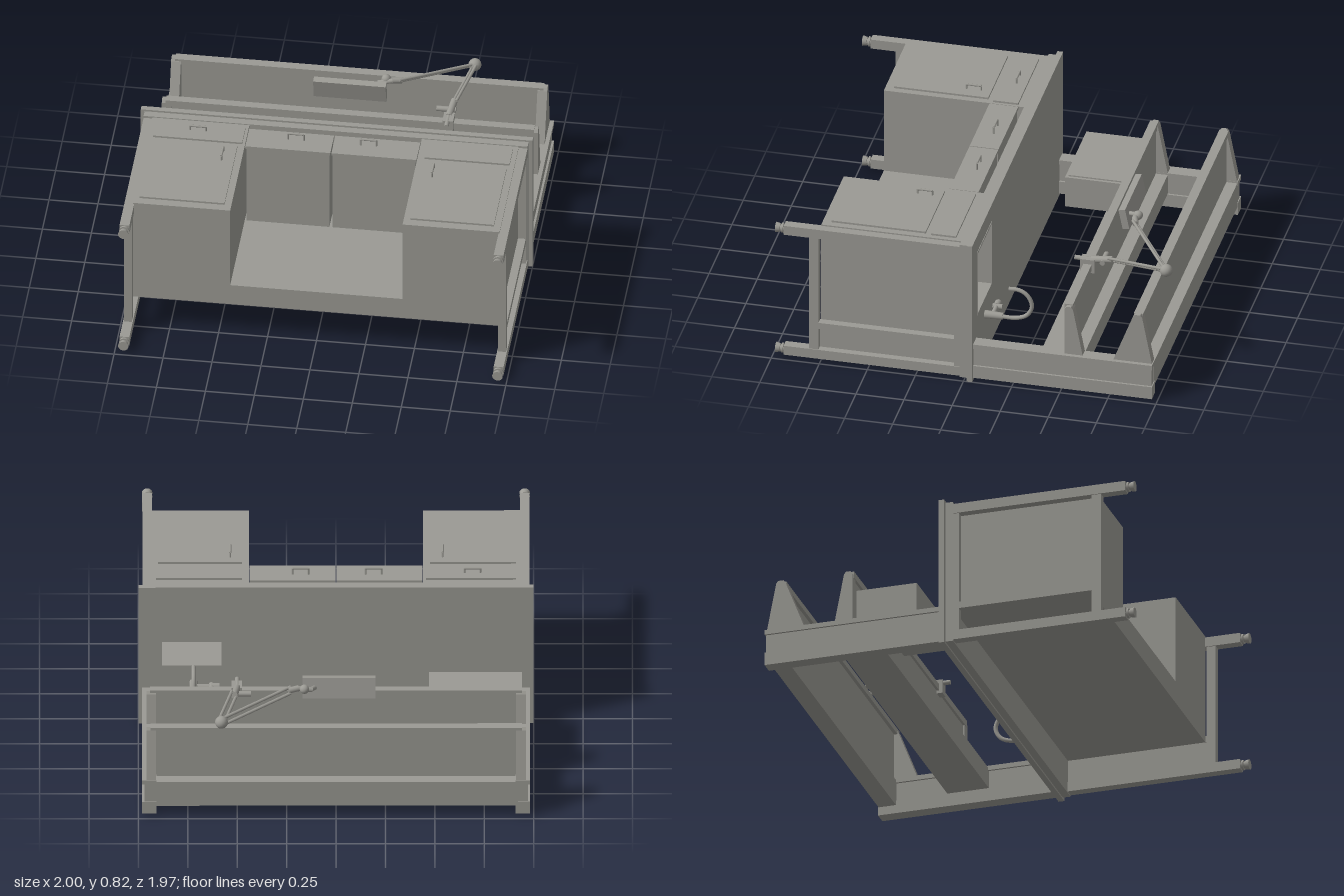
import * as THREE from 'three';

// A workbench lying on its back: worktop faces -z, drawer fronts face +y.
export function createModel() {
  const root = new THREE.Group();
  const grey = new THREE.MeshStandardMaterial({ color: 0x9b9a94 });
  grey.name = 'warm grey';

  const add = (name, geo, parent = root) => {
    const m = new THREE.Mesh(geo, grey);
    m.name = name;
    parent.add(m);
    return m;
  };
  // box from its lower and upper limits
  const box = (name, x0, x1, y0, y1, z0, z1) => {
    const m = add(name, new THREE.BoxGeometry(x1 - x0, y1 - y0, z1 - z0));
    m.position.set((x0 + x1) / 2, (y0 + y1) / 2, (z0 + z1) / 2);
    return m;
  };
  const V = (a) => new THREE.Vector3(...a);
  // round bar between two points
  const rod = (name, a, b, r, r2 = r, sides = 12) => {
    const p = V(a), q = V(b), d = q.clone().sub(p);
    const m = add(name, new THREE.CylinderGeometry(r2, r, d.length(), sides));
    m.position.copy(p).add(q).multiplyScalar(0.5);
    m.quaternion.setFromUnitVectors(new THREE.Vector3(0, 1, 0), d.normalize());
    return m;
  };
  const ball = (name, p, r) => add(name, new THREE.SphereGeometry(r, 16, 12)).position.set(...p);
  // upright plate in the z-y plane, thickness along x
  const sidePlate = (name, x, t, pts) => {
    const s = new THREE.Shape(pts.map(([z, y]) => new THREE.Vector2(-z, y)));
    const g = new THREE.ExtrudeGeometry(s, { depth: t, bevelEnabled: false });
    g.rotateY(Math.PI / 2);
    add(name, g).position.x = x - t / 2;
  };

  // Worktop with a rectangular sink opening
  const top = new THREE.Shape([[-1, 0], [1, 0], [1, 0.795], [-1, 0.795]].map((p) => new THREE.Vector2(...p)));
  top.holes.push(new THREE.Path([[0.58, 0.34], [0.58, 0.69], [0.88, 0.69], [0.88, 0.34]].map((p) => new THREE.Vector2(...p))));
  add('worktop', new THREE.ExtrudeGeometry(top, { depth: 0.03, bevelEnabled: false })).position.z = -0.045;
  // apron frame under the worktop
  box('apronFront', -0.98, 0.98, 0.725, 0.785, -0.015, 0.025);
  box('apronBack', -0.98, 0.98, 0.01, 0.07, -0.015, 0.025);
  box('worktopUnderside', -0.98, 0.57, 0.07, 0.725, -0.015, 0.025);
  box('apronSide', 0.93, 0.98, 0.07, 0.725, -0.015, 0.025);
  box('undersideBehindSink', 0.57, 0.93, 0.07, 0.33, -0.015, 0.025);

  // Sink basin
  box('sinkWall', 0.57, 0.58, 0.33, 0.7, -0.048, 0.2);
  box('sinkWall', 0.88, 0.89, 0.33, 0.7, -0.048, 0.2);
  box('sinkWall', 0.57, 0.89, 0.33, 0.34, -0.048, 0.2);
  box('sinkWall', 0.57, 0.89, 0.69, 0.7, -0.048, 0.2);
  box('sinkFloor', 0.57, 0.89, 0.33, 0.7, 0.19, 0.2);

  // Legs, feet and side frames
  for (const s of [-1, 1]) {
    const bar = (name, a, b, ...r) => box(name, Math.min(s * a, s * b), Math.max(s * a, s * b), ...r);
    for (const y of [0.043, 0.747]) {
      bar('leg', 0.93, 0.98, y - 0.026, y + 0.026, 0.02, 0.94);
      const x = s * 0.955;
      rod('footStem', [x, y, 0.94], [x, y, 0.965], 0.016);
      rod('footCollar', [x, y, 0.945], [x, y, 0.955], 0.026, 0.026, 16);
      rod('footPad', [x, y, 0.962], [x, y, 0.985], 0.022, 0.027, 16);
    }
    bar('lowerRail', 0.935, 0.975, 0.065, 0.725, 0.76, 0.81);
    bar('upperRail', 0.935, 0.975, 0.065, 0.725, 0.02, 0.055);
    bar('middleRail', 0.935, 0.975, 0.19, 0.225, 0.05, 0.765);
  }
  box('lowerSidePanel', 0.936, 0.944, 0.065, 0.195, 0.05, 0.765);

  // Cabinets: carcass shells with fronts
  const shell = (x0, x1, openEnd) => {
    box('cabinetSide', x0, x0 + 0.015, 0.19, 0.775, 0.025, 0.755);
    box('cabinetSide', x1 - 0.015, x1, 0.19, 0.775, 0.025, 0.755);
    box('cabinetBack', x0, x1, 0.19, 0.2, 0.025, 0.755);
    box('cabinetBottom', x0, x1, 0.19, 0.775, 0.74, 0.755);
    box('cabinetFace', x0, x1, 0.765, 0.78, 0.025, 0.755);
  };
  shell(-0.935, -0.44);
  shell(0.44, 0.935);
  box('drawerFront', -0.91, -0.455, 0.78, 0.79, 0.06, 0.19);
  box('sinkFront', 0.475, 0.91, 0.78, 0.79, 0.06, 0.19);
  box('leftDoor', -0.91, -0.475, 0.78, 0.79, 0.22, 0.71);
  box('rightDoor', 0.475, 0.9, 0.78, 0.79, 0.22, 0.71);

  // Knee space: raised back panel and two middle drawers
  box('kneeBack', -0.44, 0.44, 0.19, 0.31, 0.025, 0.755);
  for (const s of [-1, 1]) {
    const x = s * 0.22;
    box('middleDrawer', x - 0.212, x + 0.212, 0.31, 0.77, 0.06, 0.2);
    box('middleDrawerFront', x - 0.217, x + 0.217, 0.765, 0.78, 0.055, 0.205);
  }

  // Handles
  const handle = (x, z, dx, dz, y) => {
    const a = [x - dx, y, z - dz], b = [x + dx, y, z + dz];
    const up = ([i, , k]) => [i, 0.815, k];
    rod('handlePost', a, up(a), 0.005, 0.005, 8);
    rod('handlePost', b, up(b), 0.005, 0.005, 8);
    rod('handleGrip', up(a), up(b), 0.006, 0.006, 8);
  };
  handle(-0.69, 0.115, 0.04, 0, 0.785);
  handle(-0.19, 0.115, 0.04, 0, 0.775);
  handle(0.18, 0.115, 0.04, 0, 0.775);
  handle(-0.54, 0.31, 0, 0.038, 0.785);
  handle(0.535, 0.31, 0, 0.038, 0.785);

  // Upper rack posts with a slotted profile
  for (const s of [-1, 1]) {
    const x = s * 0.945;
    box('post', x - 0.036, x + 0.036, 0.015, 0.085, -0.975, -0.045);
    box('postWeb', x - 0.025, x + 0.025, 0.085, 0.185, -0.97, -0.045);
    box('postCap', x - 0.036, x + 0.036, 0.185, 0.21, -0.975, -0.045);
    // shelf brackets
    sidePlate('topShelfBracket', s * 0.935, 0.05, [[-0.77, 0.21], [-0.87, 0.47], [-0.88, 0.485], [-0.91, 0.485], [-0.92, 0.47], [-0.97, 0.21]]);
    sidePlate('lowerShelfBracket', s * 0.935, 0.05, [[-0.515, 0.21], [-0.515, 0.47], [-0.525, 0.485], [-0.55, 0.485], [-0.56, 0.47], [-0.61, 0.21]]);
  }
  // Cross rails
  box('topCrossRail', -0.92, 0.92, 0.06, 0.2, -0.972, -0.88);
  box('middleCrossRail', -0.92, 0.92, 0.09, 0.2, -0.61, -0.39);
  // Shelves with front lips
  box('topShelf', -0.93, 0.93, 0.2, 0.475, -0.915, -0.89);
  box('topShelfLip', -0.94, 0.94, 0.455, 0.485, -0.92, -0.872);
  box('lowerShelf', -0.93, 0.93, 0.2, 0.475, -0.548, -0.525);
  box('lowerShelfLip', -0.94, 0.94, 0.455, 0.49, -0.555, -0.512);

  // Hanging cupboard below the lower shelf
  box('cupboard', -0.94, -0.47, 0.21, 0.38, -0.5, -0.18);
  box('cupboardDoor', -0.925, -0.485, 0.38, 0.387, -0.485, -0.195);
  box('cupboardMount', -0.85, -0.55, 0.22, 0.35, -0.53, -0.5);

  // Tap with an arched spout and side lever
  rod('tapBase', [0.72, 0.24, -0.045], [0.72, 0.24, -0.14], 0.022, 0.018, 16);
  const spout = new THREE.CatmullRomCurve3([
    [0.72, 0.24, -0.1], [0.72, 0.24, -0.21], [0.72, 0.265, -0.265], [0.72, 0.32, -0.29],
    [0.72, 0.38, -0.265], [0.72, 0.405, -0.22], [0.72, 0.405, -0.17]].map(V));
  add('tapSpout', new THREE.TubeGeometry(spout, 30, 0.011, 10));
  rod('tapArm', [0.72, 0.24, -0.085], [0.63, 0.24, -0.085], 0.012);
  rod('tapLever', [0.63, 0.24, -0.065], [0.63, 0.24, -0.115], 0.014);
  rod('tapKnob', [0.63, 0.24, -0.085], [0.59, 0.24, -0.085], 0.018);

  // Jointed lamp clamped to the lower shelf
  box('lampClamp', 0.475, 0.53, 0.44, 0.515, -0.57, -0.495);
  rod('lampScrew', [0.5, 0.505, -0.46], [0.5, 0.505, -0.58], 0.012);
  rod('lampScrew', [0.43, 0.505, -0.61], [0.53, 0.505, -0.61], 0.014);
  rod('lampPost', [0.5, 0.505, -0.55], [0.515, 0.525, -0.66], 0.018);
  for (const d of [-0.012, 0.012]) {
    rod('lampLowerArm', [0.515 + d, 0.525 + d, -0.64], [0.58 + d, 0.54 + d, -0.95], 0.008, 0.008, 8);
    rod('lampUpperArm', [0.58, 0.54 + d, -0.955 + d], [0.23, 0.585 + d, -0.71 + d], 0.008, 0.008, 8);
  }
  ball('lampElbow', [0.58, 0.54, -0.955], 0.033);
  rod('lampWrist', [0.24, 0.585, -0.715], [0.19, 0.59, -0.7], 0.016);
  rod('lampNeck', [0.2, 0.59, -0.7], [0.12, 0.575, -0.69], 0.013);
  ball('lampJoint', [0.16, 0.59, -0.71], 0.024);
  rod('lampStem', [0.13, 0.575, -0.69], [0.1, 0.56, -0.635], 0.012);
  const head = box('lampHead', -0.2, 0.17, 0.505, 0.615, -0.655, -0.62);
  head.rotation.x = 0.2;

  return root;
}
